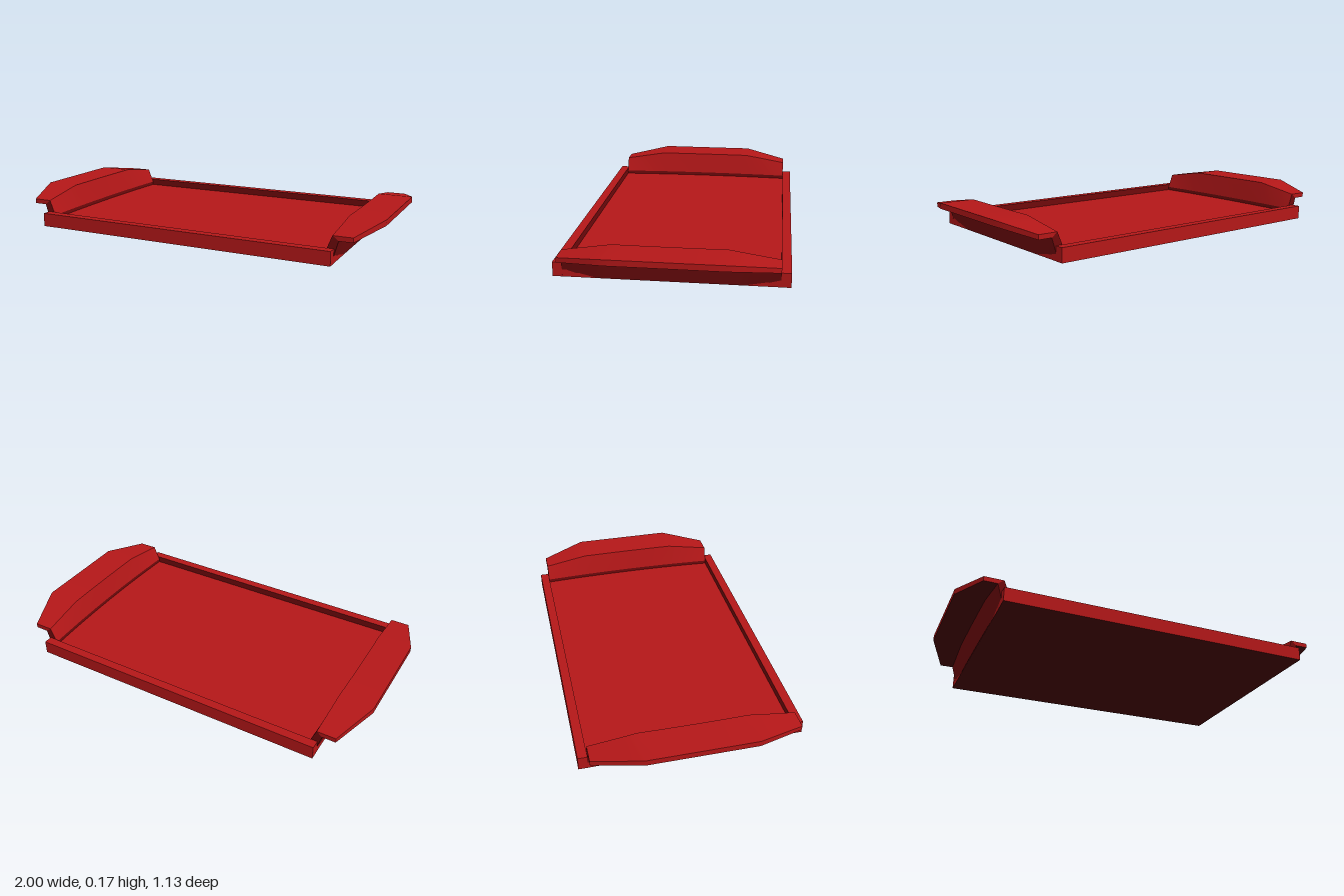
import * as THREE from 'three';

function material(name, color) {
  const m = new THREE.MeshStandardMaterial({ color });
  m.name = name;
  return m;
}
const red = material('red', 0xb41718);
const maroon = material('maroon', 0x6e090b);
const darkRed = material('darkRed', 0x440304);

const END = 0.517;
const STATIONS = [-END, -0.45, -0.36, -0.275, -0.14, 0, 0.14, 0.275, 0.36, 0.45, END];

// Box with face materials in the order +x, -x, +y, -y, +z, -z
function box(name, size, position, materials) {
  const mesh = new THREE.Mesh(new THREE.BoxGeometry(...size), materials);
  mesh.position.set(...position);
  mesh.name = name;
  return mesh;
}

// Cross-section of the end wall and its flange at depth z
function section(z) {
  const t = Math.max(0, (Math.abs(z) - 0.275) / (END - 0.275)); // flange taper
  const b = (z / END) ** 2; // bow of the inner wall
  const top = 0.175 - 0.04 * t;
  const under = 0.145 - 0.034 * t;
  const outer = 1 - 0.09 * t;
  const foot = 0.795 - 0.016 * b;
  return [
    [foot, 0.002],
    [foot, 0.055],
    [0.82 - 0.009 * b, top],
    [outer, top],
    [outer, under],
    [0.847 - 0.006 * b, under],
    [0.822 - 0.012 * b * b, 0.002],
  ];
}

function surface(name, positions, index, mat, side) {
  if (side < 0) index.reverse();
  const geo = new THREE.BufferGeometry();
  geo.setAttribute('position', new THREE.Float32BufferAttribute(positions, 3));
  geo.setIndex(index);
  geo.computeVertexNormals();
  const mesh = new THREE.Mesh(geo, mat);
  mesh.name = name;
  return mesh;
}

// End wall with flange, made of strips swept along z; side = 1 or -1
function endHandle(side) {
  const group = new THREE.Group();
  group.name = side > 0 ? 'leftHandle' : 'rightHandle';
  const rings = STATIONS.map(z => section(z).map(([x, y]) => [side * x, y, z]));
  const strips = [
    ['wallFoot', maroon], ['innerWall', red], ['flangeTop', red], ['flangeEdge', red],
    ['flangeUnderside', darkRed], ['outerWall', maroon], ['wallBottom', darkRed],
  ];
  strips.forEach(([name, mat], i) => {
    const positions = rings.flatMap(r => [...r[i], ...r[(i + 1) % strips.length]]);
    const index = [];
    for (let k = 0; k < 2 * (rings.length - 1); k += 2) {
      index.push(k, k + 2, k + 3, k, k + 3, k + 1);
    }
    group.add(surface(name, positions, index, mat, side));
  });
  // Flat caps at both ends
  for (const [ring, facing] of [[rings[rings.length - 1], side], [rings[0], -side]]) {
    group.add(surface('wallEnd', ring.flat(), [0, 6, 5, 0, 5, 1, 1, 5, 2], maroon, facing));
    group.add(surface('flangeEnd', ring.flat(), [2, 5, 4, 2, 4, 3], red, facing));
  }
  return group;
}

export function createModel() {
  const tray = new THREE.Group();
  tray.name = 'tray';
  // Floor panel
  tray.add(box('floor', [1.639, 0.036, 1.034], [0, 0.018, 0], [red, red, red, darkRed, red, red]));
  // Long rails, darker on the inside
  const railSize = [1.64, 0.072, 0.047];
  tray.add(box('frontRail', railSize, [0, 0.036, 0.5405], [red, red, red, darkRed, red, maroon]));
  tray.add(box('backRail', railSize, [0, 0.036, -0.5405], [red, red, red, darkRed, maroon, red]));
  // Raised ends
  tray.add(endHandle(1), endHandle(-1));
  return tray;
}
